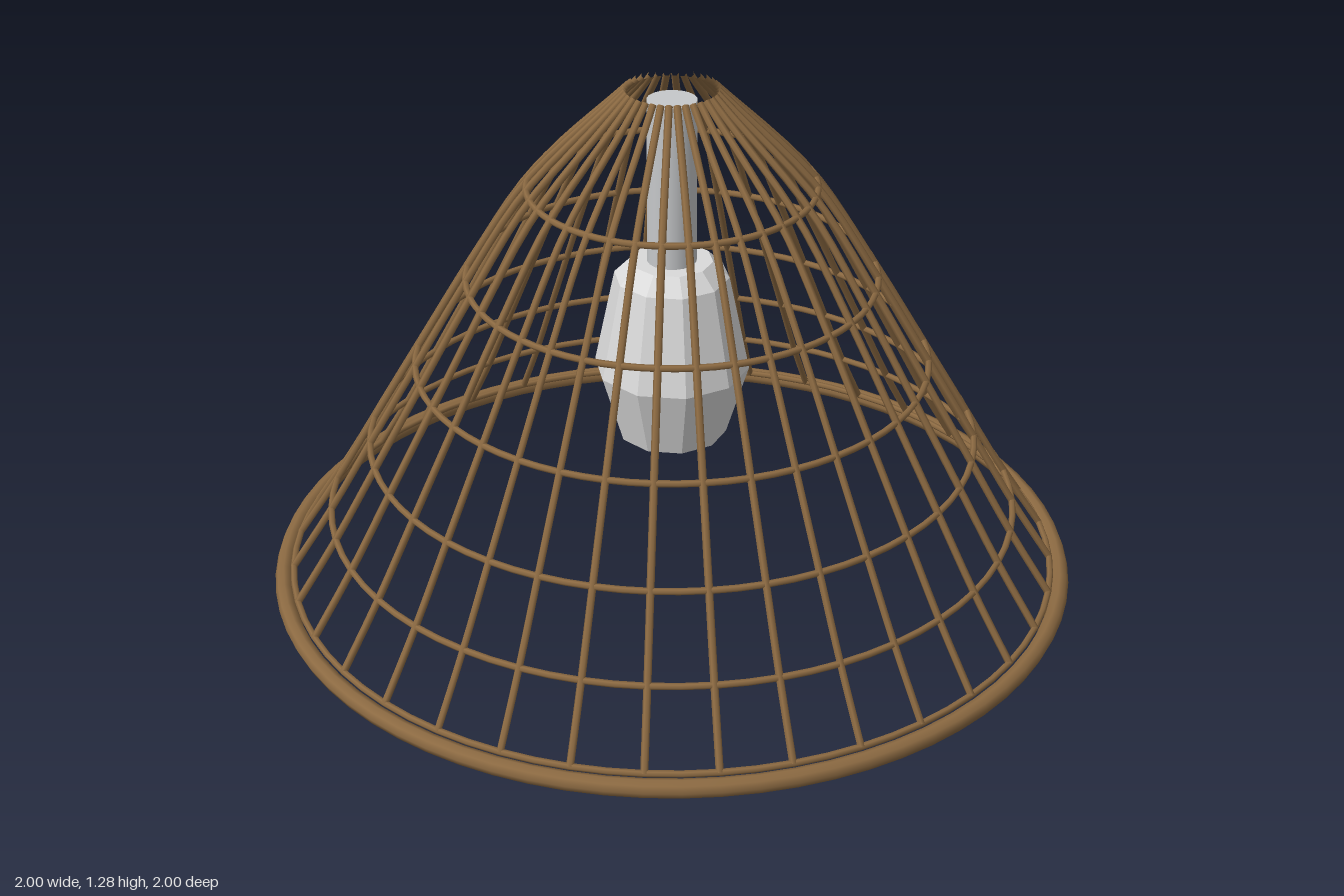
import * as THREE from 'three';

const paint = (name, color) => {
  const m = new THREE.MeshStandardMaterial({ color });
  m.name = name;
  return m;
};

export function createModel() {
  const model = new THREE.Group();
  model.name = 'pendantLamp';
  const wood = paint('cane brown', 0x8c6a42);
  const glass = paint('bulb white', 0xdadada);
  const metal = paint('socket grey', 0xc6c8ca);

  const add = (name, geometry, material, parent = model) => {
    const mesh = new THREE.Mesh(geometry, material);
    mesh.name = name;
    parent.add(mesh);
    return mesh;
  };

  // shade profile: radius and height, from the top opening to the rim
  const profile = [
    [0.108, 1.275], [0.345, 1.035], [0.495, 0.805], [0.625, 0.585],
    [0.745, 0.38], [0.85, 0.2], [0.953, 0.04],
  ];

  // upright ribs
  const ribs = new THREE.Group();
  ribs.name = 'ribs';
  model.add(ribs);
  const path = new THREE.CatmullRomCurve3(
    profile.map(([r, y]) => new THREE.Vector3(r, y, 0)));
  const ribGeometry = new THREE.TubeGeometry(path, 24, 0.009, 6);
  const ribCount = 36;
  for (let i = 0; i < ribCount; i++) {
    add('rib', ribGeometry, wood, ribs).rotation.y = (i / ribCount) * Math.PI * 2;
  }

  // horizontal hoops, one at each profile point below the opening
  const hoop = (name, r, y, tube, sides) => {
    const mesh = add(name, new THREE.TorusGeometry(r, tube, sides, 72), wood);
    mesh.rotation.x = Math.PI / 2;
    mesh.position.y = y;
  };
  profile.slice(1).forEach(([r, y]) => hoop('hoop', r, y, 0.008, 6));

  // thick bottom rim
  hoop('rim', 0.978, 0.02, 0.022, 8);

  // ten-sided faceted bulb
  const bulbProfile = [
    [0, 0.345], [0.135, 0.38], [0.19, 0.56], [0.14, 0.8], [0.1, 0.84], [0, 0.84],
  ].map(([r, y]) => new THREE.Vector2(r, y));
  const bulbGeometry = new THREE.LatheGeometry(bulbProfile, 10).toNonIndexed();
  bulbGeometry.computeVertexNormals();
  add('bulb', bulbGeometry, glass).rotation.y = Math.PI / 2;

  // socket stem above the bulb
  add('stem', new THREE.CylinderGeometry(0.06, 0.06, 0.42, 20), metal).position.y = 1.04;

  return model;
}
